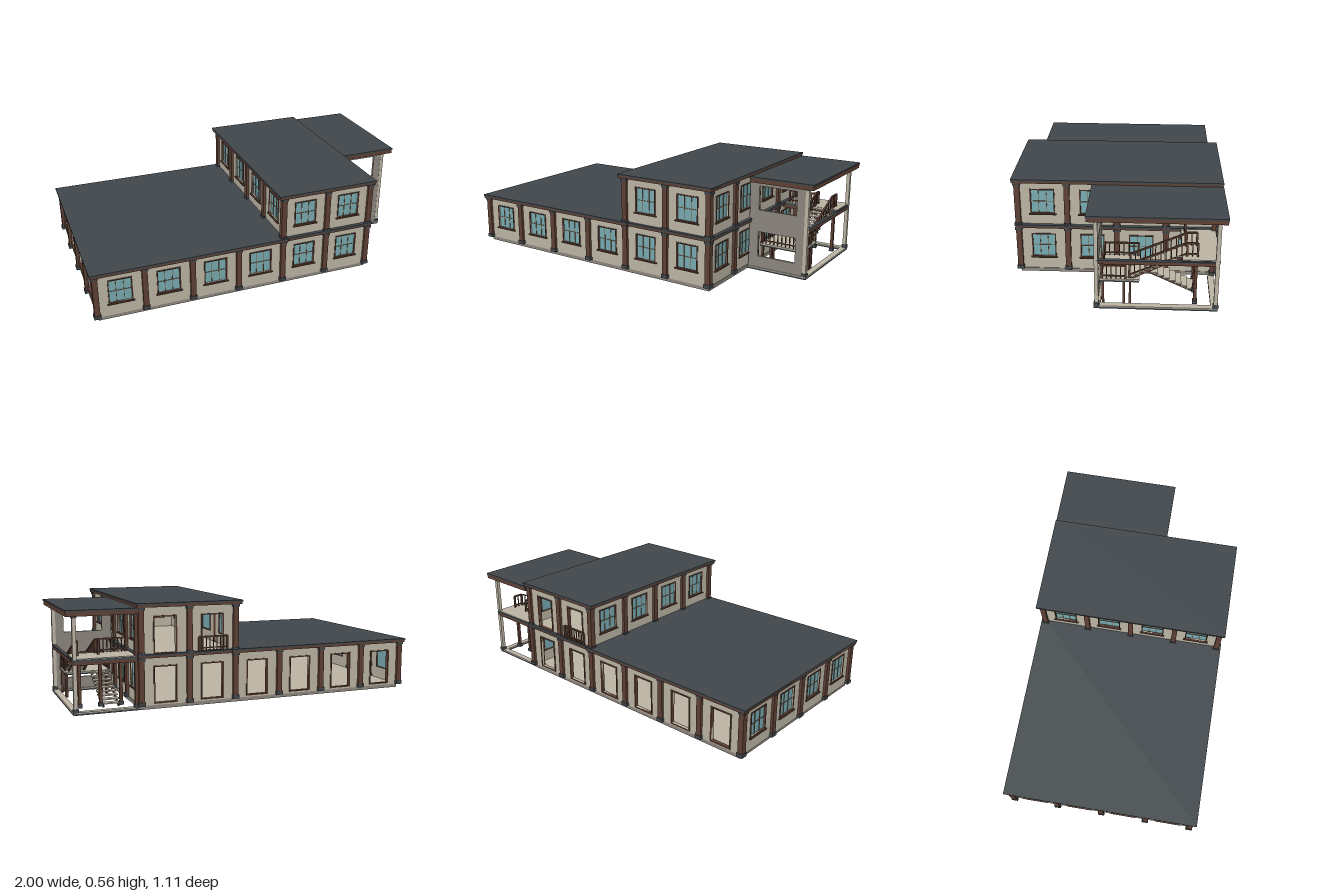
import * as THREE from 'three';

const material = (name, color) => {
  const m = new THREE.MeshStandardMaterial({ color });
  m.name = name;
  return m;
};
const slate = material('slate', 0x41474b);
const beige = material('beige plaster', 0xbcb5a5);
const brown = material('brown timber', 0x5e4034);
const grey = material('grey concrete', 0x8c877e);
const glass = material('blue glass', 0x78abb1);
const bronze = material('bronze glazing bar', 0x7b5a3c);

// Box given by its lower and upper limits on each axis
function box(parent, name, mat, x0, x1, y0, y1, z0, z1) {
  const mesh = new THREE.Mesh(new THREE.BoxGeometry(x1 - x0, y1 - y0, z1 - z0), mat);
  mesh.name = name;
  mesh.position.set((x0 + x1) / 2, (y0 + y1) / 2, (z0 + z1) / 2);
  parent.add(mesh);
  return mesh;
}

// Straight bar between two points
function bar(parent, name, mat, a, b, w, h = w) {
  const p = new THREE.Vector3(...a), q = new THREE.Vector3(...b);
  const mesh = new THREE.Mesh(new THREE.BoxGeometry(w, h, p.distanceTo(q)), mat);
  mesh.name = name;
  mesh.position.copy(p).add(q).multiplyScalar(0.5);
  mesh.lookAt(q);
  parent.add(mesh);
}

// Plate in the xy plane with rectangular holes [x0, x1, y0, y1]
function plate(parent, name, mat, rect, holes, depth, z) {
  const loop = (P, [x0, x1, y0, y1]) => {
    const p = new P();
    p.moveTo(x0, y0); p.lineTo(x1, y0); p.lineTo(x1, y1); p.lineTo(x0, y1); p.closePath();
    return p;
  };
  const shape = loop(THREE.Shape, rect);
  shape.holes = holes.map((h) => loop(THREE.Path, h));
  const mesh = new THREE.Mesh(new THREE.ExtrudeGeometry(shape, { depth, bevelEnabled: false }), mat);
  mesh.name = name;
  mesh.position.z = z;
  parent.add(mesh);
}

function frame(parent, name, [x0, x1, y0, y1], t) {
  plate(parent, name, brown, [x0 - t, x1 + t, y0 - t, y1 + t], [[x0, x1, y0, y1]], 0.022, -0.018);
}

function addWindow(parent, x, y) {
  const x0 = x - 0.06, x1 = x + 0.06, y0 = y + 0.095, y1 = y + 0.228;
  box(parent, 'windowGlass', glass, x0, x1, y0, y1, -0.012, -0.007);
  frame(parent, 'windowFrame', [x0, x1, y0, y1], 0.006);
  for (const dx of [-0.021, 0.021])
    box(parent, 'glazingBar', bronze, x + dx - 0.0015, x + dx + 0.0015, y0, y1, -0.009, -0.004);
  const ym = y0 + 0.066;
  box(parent, 'glazingBar', bronze, x0, x1, ym - 0.0015, ym + 0.0015, -0.009, -0.004);
  box(parent, 'windowSill', brown, x0 - 0.013, x1 + 0.013, y0 - 0.009, y0 - 0.003, -0.005, 0.01);
}

// Timber column with slate foot and head
function column(parent, x, z, y0, y1, mat = brown, w = 0.03) {
  const h = w / 2, k = h + 0.004;
  box(parent, 'column', mat, x - h, x + h, y0, y1, z - h, z + h);
  box(parent, 'columnFoot', slate, x - k, x + k, y0, y0 + 0.02, z - k, z + k);
  box(parent, 'columnHead', slate, x - k, x + k, y1 - 0.015, y1, z - k, z + k);
}

// One storey of wall: bays with openings and a column at the start of each bay
function facade(parent, name, x, z, turn, bays, pitch, y, door) {
  const g = new THREE.Group();
  g.name = name;
  g.position.set(x, 0, z);
  g.rotation.y = turn * Math.PI / 2;
  parent.add(g);
  const half = bays * pitch / 2, holes = [];
  for (let i = 0; i < bays; i++) {
    const c = -half + (i + 0.5) * pitch;
    const hole = door ? [c - 0.058, c + 0.058, y + 0.034, y + 0.222] : [c - 0.06, c + 0.06, y + 0.095, y + 0.228];
    holes.push(hole);
    if (door) frame(g, 'doorFrame', hole, 0.007);
    else addWindow(g, c, y);
    column(g, c - pitch / 2, 0, y + 0.02, y + 0.274);
  }
  plate(g, 'wall', beige, [-half, half, y + 0.019, y + 0.275], holes, 0.014, -0.014);
}

function storey(parent, name, x0, x1, zs, bays, y) {
  const g = new THREE.Group();
  g.name = name;
  parent.add(g);
  const cx = (x0 + x1) / 2, px = (x1 - x0) / bays, pz = zs / 2;
  facade(g, 'frontWall', cx, zs, 0, bays, px, y, false);
  facade(g, 'leftWall', x1, 0, 1, 4, pz, y, false);
  facade(g, 'backWall', cx, -zs, 2, bays, px, y, true);
  facade(g, 'rightWall', x0, 0, -1, 4, pz, y, false);
}

function roof(parent, name, x0, x1, z0, z1, top, edge) {
  box(parent, name, slate, x0, x1, top - 0.009, top, z0, z1);
  box(parent, name + 'Fascia', brown, x0 + 0.003, x1 - 0.003, top - edge, top - 0.009, z0 + 0.003, z1 - 0.003);
}

// Railing following the line a-b at its foot
function railing(parent, a, b, n, h = 0.075) {
  const g = new THREE.Group();
  g.name = 'railing';
  parent.add(g);
  const up = (p, d) => [p[0], p[1] + d, p[2]];
  bar(g, 'handrail', brown, up(a, h), up(b, h), 0.01, 0.008);
  bar(g, 'lowerRail', brown, up(a, 0.016), up(b, 0.016), 0.006);
  for (let i = 0; i <= n; i++) {
    const p = a.map((v, k) => v + (b[k] - v) * i / n), w = i % n ? 0.0025 : 0.005;
    box(g, 'baluster', brown, p[0] - w, p[0] + w, p[1], p[1] + h, p[2] - w, p[2] + w);
  }
}

function flight(parent, name, x0, x1, a, b, n) {
  const g = new THREE.Group();
  g.name = name;
  parent.add(g);
  const run = (b[1] - a[1]) / n, rise = (b[0] - a[0]) / n;
  for (let i = 0; i < n; i++) {
    const y = a[0] + rise * (i + 1), z = a[1] + run * (i + 0.5), d = Math.abs(run) * 0.62;
    box(g, 'tread', beige, x0, x1, y - 0.007, y, z - d, z + d);
  }
  for (const x of [x0 + 0.012, x1 - 0.012])
    bar(g, 'stringer', brown, [x, a[0] - 0.004, a[1]], [x, b[0] - 0.008, b[1]], 0.008, 0.012);
}

export function createModel() {
  const model = new THREE.Group();
  model.name = 'building';
  const X0 = -0.973, X1 = 0.611, XM = 0.083, Z = 0.527;

  // Plinth, floors and hollow storeys
  box(model, 'plinth', grey, X0 + 0.006, X1 + 0.004, 0, 0.02, -Z, Z);
  box(model, 'groundFloor', beige, X0 + 0.01, X1 - 0.01, 0.02, 0.023, -Z + 0.005, Z - 0.005);
  storey(model, 'lowerStorey', X0, X1, Z, 6, 0);
  storey(model, 'upperStorey', XM, X1, Z, 2, 0.262);

  // Roofs and the belt between storeys
  roof(model, 'lowRoof', -1, 0.11, -0.555, 0.555, 0.294, 0.022);
  roof(model, 'belt', 0.1, 0.632, -0.547, 0.547, 0.292, 0.02);
  box(model, 'upperFloor', beige, XM + 0.01, X1 - 0.01, 0.29, 0.296, -Z + 0.005, Z - 0.005);
  roof(model, 'highRoof', 0.048, 0.637, -0.555, 0.555, 0.558, 0.022);
  railing(model, [0.135, 0.294, -0.541], [0.295, 0.294, -0.541], 8);

  // Open stair annex: ground frame, screen wall, columns and beams
  const annex = new THREE.Group();
  annex.name = 'stairAnnex';
  model.add(annex);
  for (const [name, x0, x1, z0, z1] of [
    ['groundSideStrip', 0.932, 0.965, -0.525, 0.1],
    ['groundBackStrip', 0.615, 0.932, -0.525, -0.492],
    ['groundFrontStrip', 0.615, 0.932, 0.067, 0.1]]) {
    box(annex, name, slate, x0, x1, 0, 0.009, z0, z1);
    box(annex, name + 'Top', beige, x0, x1, 0.009, 0.015, z0, z1);
  }
  plate(annex, 'screenWall', grey, [0.616, 0.952, 0.009, 0.51],
    [[0.672, 0.895, 0.347, 0.482], [0.672, 0.895, 0.08, 0.222]], 0.014, 0.08);
  column(annex, 0.952, 0.085, 0.012, 0.51, beige, 0.02);
  column(annex, 0.952, -0.515, 0.012, 0.51, beige, 0.02);
  column(annex, 0.632, -0.515, 0.012, 0.51, brown, 0.022);
  box(annex, 'sideBeam', brown, 0.944, 0.96, 0.255, 0.272, -0.525, 0.08);
  box(annex, 'backBeam', brown, 0.62, 0.944, 0.255, 0.272, -0.525, -0.509);
  box(annex, 'innerBeam', brown, 0.62, 0.944, 0.255, 0.272, -0.356, -0.34);
  box(annex, 'sideBeamCap', slate, 0.942, 0.962, 0.272, 0.278, -0.527, 0.08);
  for (const x of [0.69, 0.8, 0.91]) column(annex, x, -0.412, 0.012, 0.258, brown, 0.016);
  roof(annex, 'annexRoof', 0.625, 1, -0.555, 0.13, 0.537, 0.032);

  // Upper gallery
  box(annex, 'galleryEdge', slate, 0.618, 0.957, 0.272, 0.284, -0.528, -0.34);
  box(annex, 'galleryFloor', beige, 0.618, 0.955, 0.284, 0.288, -0.525, -0.342);
  railing(annex, [0.808, 0.286, -0.36], [0.65, 0.286, -0.36], 8);
  for (const x of [0.808, 0.918]) railing(annex, [x, 0.286, -0.365], [x, 0.286, -0.418], 2);

  // Stairs with a half landing
  box(annex, 'landing', slate, 0.675, 0.925, 0.134, 0.143, -0.128, 0.07);
  box(annex, 'landingTop', beige, 0.675, 0.925, 0.143, 0.15, -0.13, 0.072);
  for (const x of [0.685, 0.915])
    for (const z of [0.055, -0.052, -0.083])
      box(annex, 'landingPost', brown, x - 0.006, x + 0.006, 0, 0.14, z - 0.006, z + 0.006);
  flight(annex, 'lowerFlight', 0.69, 0.795, [0.01, -0.405], [0.145, -0.128], 9);
  flight(annex, 'upperFlight', 0.81, 0.918, [0.148, -0.075], [0.286, -0.345], 9);
  for (const x of [0.813, 0.915]) railing(annex, [x, 0.158, -0.08], [x, 0.286, -0.365], 11);
  railing(annex, [0.918, 0.15, 0.06], [0.918, 0.15, -0.06], 5);
  railing(annex, [0.682, 0.15, 0.06], [0.682, 0.15, -0.12], 7);
  railing(annex, [0.682, 0.15, 0.06], [0.918, 0.15, 0.06], 10);
  return model;
}
